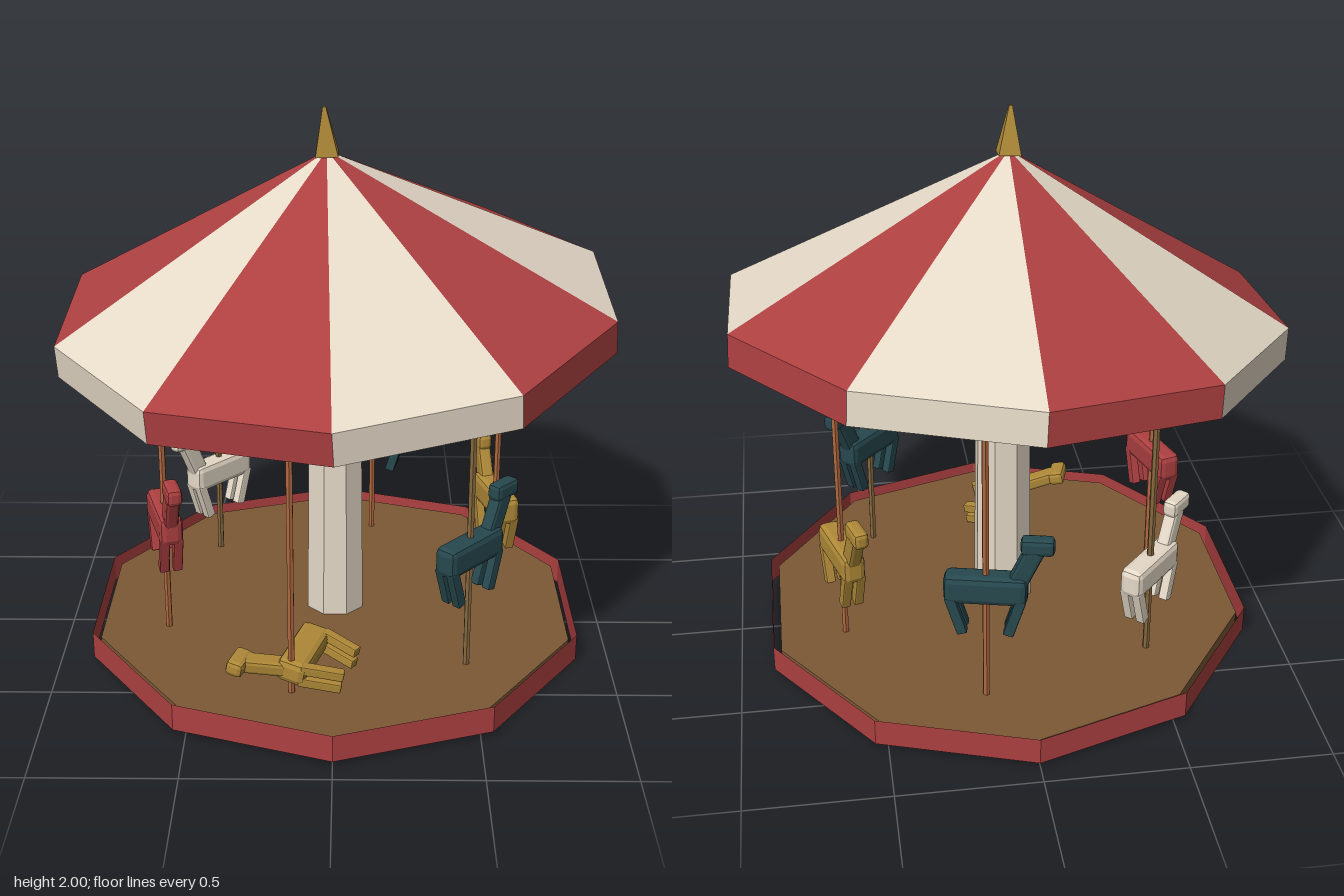
import * as THREE from 'three';
import { RoundedBoxGeometry } from 'three/addons/geometries/RoundedBoxGeometry.js';

const paint = (name, color) =>
  new THREE.MeshStandardMaterial({ name, color, flatShading: true, side: THREE.DoubleSide });
const red = paint('red', 0xad4041);
const cream = paint('cream', 0xe6dac8);
const gold = paint('gold', 0xb08a38);
const teal = paint('teal', 0x27494f);
const wood = paint('wood', 0x7d5936);
const copper = paint('copper', 0xae683f);
const bronze = paint('bronze', 0x86683f);

const rad = THREE.MathUtils.degToRad;

function add(parent, name, geometry, material, x = 0, y = 0, z = 0) {
  const mesh = new THREE.Mesh(geometry, material);
  mesh.name = name;
  mesh.position.set(x, y, z);
  parent.add(mesh);
  return mesh;
}

// Chamfered box
const block = (w, h, d, bevel) => new RoundedBoxGeometry(w, h, d, 1, bevel);

// Horse facing +x, origin at the middle of its body
function makeHorse(material) {
  const horse = new THREE.Group();
  horse.name = 'horse';
  add(horse, 'body', block(0.285, 0.107, 0.085, 0.022), material);
  add(horse, 'neck', block(0.068, 0.17, 0.05, 0.012), material, 0.135, 0.09, 0).rotation.z = rad(-24);
  add(horse, 'head', block(0.115, 0.062, 0.055, 0.016), material, 0.175, 0.175, 0);
  for (const end of [-1, 1]) {
    for (const side of [-1, 1]) {
      const leg = add(horse, 'leg', block(0.037, 0.15, 0.034, 0.005), material,
        end * 0.1, -0.1, side * 0.024);
      leg.rotation.z = rad(-end * 17);
    }
  }
  return horse;
}

export function createModel() {
  const model = new THREE.Group();
  model.name = 'carousel';

  // Platform: floor disc inside a loose, open trim ring
  add(model, 'floor', new THREE.CylinderGeometry(0.895, 0.895, 0.09, 10), wood, 0, 0.045, 0);
  add(model, 'trimRing', new THREE.CylinderGeometry(0.925, 0.925, 0.1, 10, 1, true), red, 0, 0.065, 0);

  // Central column
  const column = add(model, 'column', new THREE.CylinderGeometry(0.098, 0.112, 1.115, 8), cream, 0, 0.6425, 0);
  column.rotation.y = rad(22.5);

  // Tilted roof, pivoting at the top of its rim
  const roof = new THREE.Group();
  roof.name = 'roof';
  roof.position.y = 1.31;
  roof.rotation.set(rad(5), 0, rad(3));
  model.add(roof);
  const R = 0.995, rim = 0.115, peak = 0.54;
  for (let i = 0; i < 10; i++) {
    const color = i % 2 ? red : cream;
    const start = rad(36 * i), sweep = rad(36);
    add(roof, 'roofPanel', new THREE.CylinderGeometry(0, R, peak, 1, 1, true, start, sweep), color, 0, peak / 2, 0);
    add(roof, 'valance', new THREE.CylinderGeometry(R, R, rim, 1, 1, true, start, sweep), color, 0, -rim / 2, 0);
  }
  const ceiling = add(roof, 'ceiling', new THREE.CircleGeometry(R, 10, Math.PI / 2), red, 0, -rim, 0);
  ceiling.rotation.x = Math.PI / 2;
  const finial = add(roof, 'finial', new THREE.CylinderGeometry(0.008, 0.055, 0.165, 4), gold, 0, 0.61, 0);
  finial.rotation.y = rad(45);

  // Poles and horses, spaced evenly around the column
  const riders = [
    { pole: copper, horse: gold, fallen: true },
    { pole: bronze, horse: teal, y: 0.54 },
    { pole: copper, horse: gold, y: 0.438 },
    { pole: copper, horse: teal, y: 0.54 },
    { pole: bronze, horse: cream, y: 0.438 },
    { pole: copper, horse: red, y: 0.54 },
  ];
  riders.forEach((rider, i) => {
    const angle = rad(-13 + 60 * i);
    const x = 0.64 * Math.sin(angle), z = 0.64 * Math.cos(angle);
    const top = 1.2 + 0.0524 * x - 0.0875 * z;
    const bottom = 0.085;
    add(model, 'pole', new THREE.CylinderGeometry(0.0125, 0.0125, top - bottom, 6), rider.pole,
      x, (top + bottom) / 2, z);

    const horse = makeHorse(rider.horse);
    if (rider.fallen) {
      // Lying on its side on the floor, legs dipping slightly
      const forward = new THREE.Vector3(-0.3, 0, 0.954).normalize();
      const up = new THREE.Vector3(-0.954, 0.2, -0.3).normalize();
      const side = new THREE.Vector3().crossVectors(forward, up);
      horse.name = 'fallenHorse';
      horse.quaternion.setFromRotationMatrix(new THREE.Matrix4().makeBasis(forward, up, side));
      horse.position.set(-0.106, 0.175, 0.515);
    } else {
      horse.rotation.y = angle;
      horse.position.set(x, rider.y, z);
    }
    model.add(horse);
  });

  return model;
}
